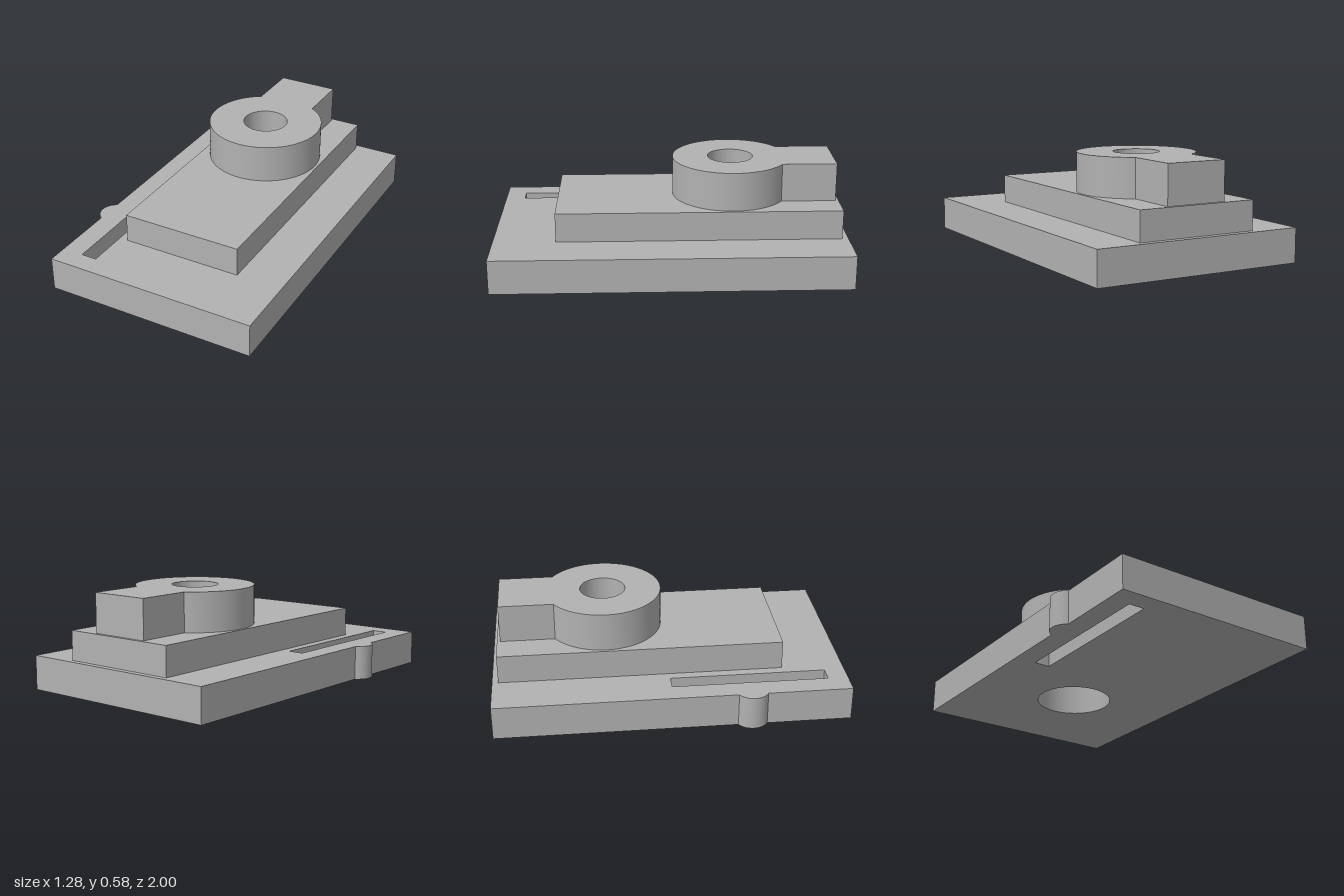
import * as THREE from 'three';
import { toCreasedNormals } from 'three/addons/utils/BufferGeometryUtils.js';

export function createModel() {
  const group = new THREE.Group();
  const grey = new THREE.MeshStandardMaterial({ color: 0xb2b2b2 });
  grey.name = 'plain grey';

  // Plans are drawn in (x, -z) and raised from y0 to y1
  const addPart = (name, shape, y0, y1) => {
    const solid = new THREE.ExtrudeGeometry(shape, { depth: y1 - y0, bevelEnabled: false, curveSegments: 64 });
    solid.rotateX(-Math.PI / 2).translate(0, y0, 0);
    const mesh = new THREE.Mesh(toCreasedNormals(solid, 0.5), grey);
    mesh.name = name;
    group.add(mesh);
  };
  const rectPoints = (x0, x1, z0, z1) =>
    [[x0, -z1], [x1, -z1], [x1, -z0], [x0, -z0]].map(([x, y]) => new THREE.Vector2(x, y));

  // Shared axis of the boss and the bores
  const cx = 0.022, cz = -0.352;
  const bore = (r) => new THREE.Path().absarc(cx, -cz, r, 0, Math.PI * 2, true);

  // Base plate with a half-round bump on its right edge, a slot and a wide bore
  const left = 0.637, right = -0.593;
  const bumpX = -0.546, bumpZ = 0.44, bumpR = 0.094;
  const a = Math.acos((bumpX - right) / bumpR);
  const base = new THREE.Shape();
  base.moveTo(right, -1);
  base.lineTo(left, -1);
  base.lineTo(left, 1);
  base.lineTo(right, 1);
  base.absarc(bumpX, -bumpZ, bumpR, Math.PI - a, Math.PI + a, false);
  base.closePath();
  base.holes.push(bore(0.216), new THREE.Path(rectPoints(-0.47, -0.38, 0, 0.885)));
  addPart('basePlate', base, 0, 0.195);

  // Raised platform with the narrow bore
  const platform = new THREE.Shape(rectPoints(-0.328, 0.372, -0.965, 0.647));
  platform.holes.push(bore(0.13));
  addPart('platform', platform, 0.195, 0.362);

  // Round boss with a straight tab running to the back
  const R = 0.334, half = 0.176;
  const t = Math.acos(half / R);
  const boss = new THREE.Shape();
  boss.moveTo(cx + half, 0.947);
  boss.lineTo(cx - half, 0.947);
  boss.absarc(cx, -cz, R, Math.PI - t, Math.PI * 2 + t, false);
  boss.closePath();
  boss.holes.push(bore(0.13));
  addPart('bossWithTab', boss, 0.362, 0.583);

  return group;
}
